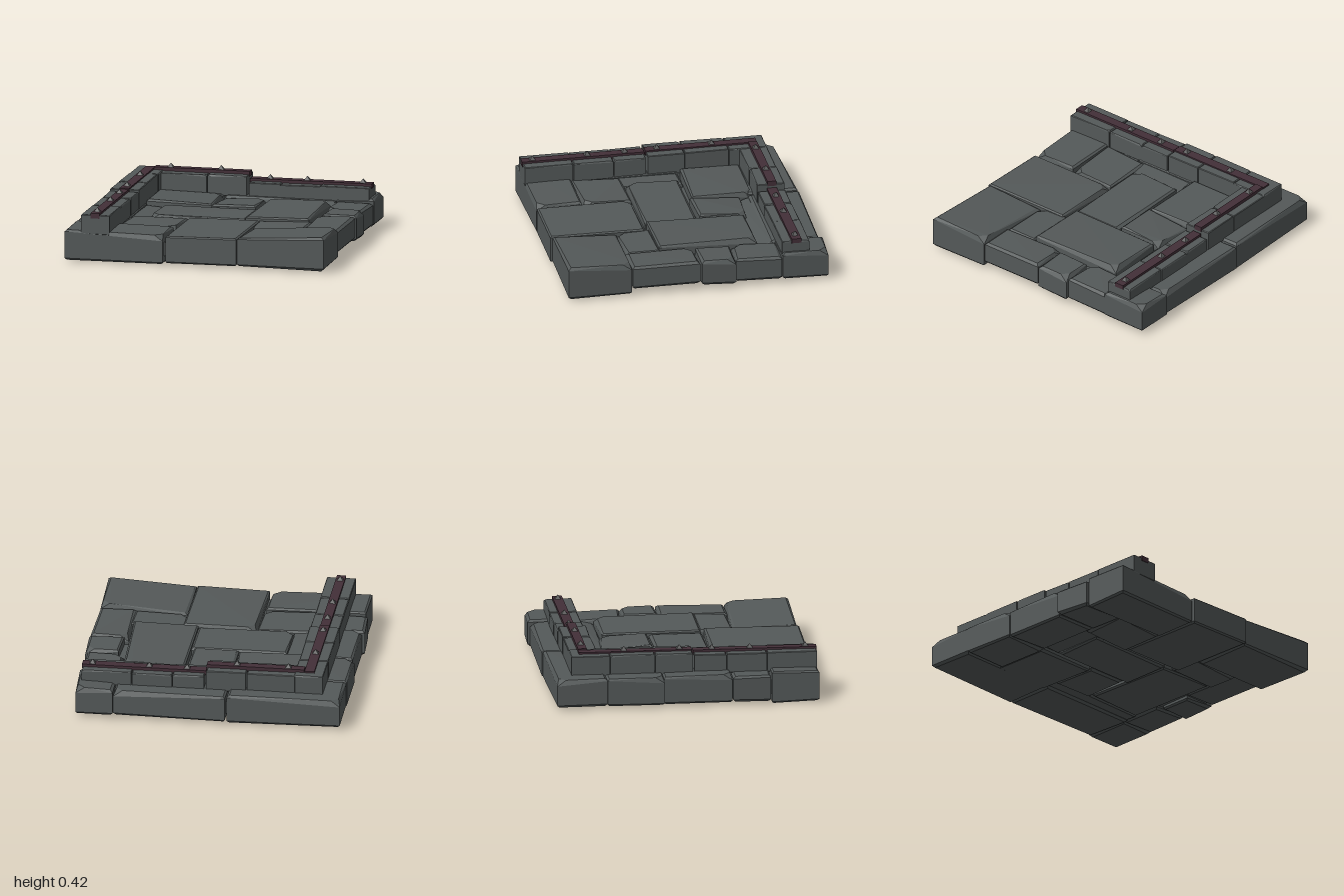
import * as THREE from 'three';
import { ConvexGeometry } from 'three/addons/geometries/ConvexGeometry.js';

// small seeded generator for chipped, uneven masonry
function makeRandom(seed) {
  return () => {
    seed = (seed * 16807) % 2147483647;
    return seed / 2147483647;
  };
}

// Rough-hewn block: every corner is bevelled, one corner is chipped deeper.
// tx, tz: rise of the top from its low-x to high-x and low-z to high-z side.
function hewnStone(x0, x1, z0, z1, y0, y1, tx, tz, rough, rnd) {
  const pts = [];
  const chip = Math.floor(rnd() * 4);
  [[0, 0], [1, 0], [1, 1], [0, 1]].forEach(([u, v], i) => {
    const sx = u ? -1 : 1, sz = v ? -1 : 1;
    const x = (u ? x1 : x0) + sx * rnd() * rough * 0.6;
    const z = (v ? z1 : z0) + sz * rnd() * rough * 0.6;
    const top = y1 + tx * (u - 0.5) + tz * (v - 0.5) - rnd() * rough * 0.3;
    const bottom = y0 + rnd() * rough * 0.5;
    const b = rough * (0.35 + rnd() * 0.4);
    const drop = i === chip ? rough * 1.4 : b * 0.8;
    const inset = i === chip ? rough * 2.2 : b;
    pts.push(new THREE.Vector3(x + sx * b, bottom, z + sz * b));
    pts.push(new THREE.Vector3(x, bottom + b, z));
    pts.push(new THREE.Vector3(x, top - drop, z));
    pts.push(new THREE.Vector3(x + sx * inset, top, z + sz * b));
    pts.push(new THREE.Vector3(x + sx * b, top, z + sz * inset));
  });
  return new ConvexGeometry(pts);
}

export function createModel() {
  const model = new THREE.Group();
  const rnd = makeRandom(4711);
  const material = (name, color) => {
    const m = new THREE.MeshStandardMaterial({ color });
    m.name = name;
    return m;
  };
  const stone = material('grey stone', 0x545959);
  const iron = material('dark red metal', 0x432f38);
  const studMetal = material('stud metal', 0x585858);

  const group = (name) => {
    const g = new THREE.Group();
    g.name = name;
    model.add(g);
    return g;
  };
  const add = (parent, name, geometry, mat) => {
    const mesh = new THREE.Mesh(geometry, mat);
    mesh.name = name;
    parent.add(mesh);
    return mesh;
  };
  const box = (parent, name, mat, x0, x1, y0, y1, z0, z1) => {
    const m = add(parent, name, new THREE.BoxGeometry(x1 - x0, y1 - y0, z1 - z0), mat);
    m.position.set((x0 + x1) / 2, (y0 + y1) / 2, (z0 + z1) / 2);
    return m;
  };

  // outer floor stones: x0, x1, z0, z1, bottom, top, tiltX, tiltZ
  const edgeStones = [
    [-1.0, -0.14, -0.97, -0.58, 0.01, 0.235, 0, 0],
    [-0.15, 0.7, -0.98, -0.58, 0.02, 0.225, 0, 0],
    [0.69, 0.98, -0.99, -0.62, 0.02, 0.24, 0.01, 0],
    [0.69, 0.98, -0.64, -0.28, 0.03, 0.225, 0, 0.01],
    [0.73, 1.0, -0.28, -0.015, 0.035, 0.24, 0, 0],
    [0.7, 0.99, -0.02, 0.5, 0.05, 0.24, 0, 0],
    [0.33, 0.985, 0.485, 0.98, 0.015, 0.25, 0.035, 0.01],
    [-0.22, 0.335, 0.26, 0.985, 0.02, 0.235, 0.005, 0],
    [-0.985, -0.215, 0.63, 0.98, 0.0, 0.24, -0.01, 0],
    [-1.0, -0.62, 0.33, 0.635, 0.02, 0.225, 0, 0],
    [-0.985, -0.62, -0.17, 0.34, 0.02, 0.235, 0, 0],
    [-1.0, -0.62, -0.6, -0.16, 0.01, 0.235, 0, 0],
  ];
  // inner paving stones in the same order of values
  const innerStones = [
    [-0.65, -0.135, -0.64, -0.17, 0.02, 0.25, -0.01, 0.01],
    [-0.14, 0.21, -0.53, -0.15, 0.03, 0.24, 0.01, 0.02],
    [0.21, 0.7, -0.5, 0.25, 0.03, 0.25, 0.01, 0.01],
    [-0.5, 0.235, -0.15, 0.26, 0.02, 0.235, 0, 0],
    [-0.65, -0.47, -0.18, 0.35, 0.04, 0.215, -0.01, 0],
    [-0.64, -0.21, 0.25, 0.635, 0.02, 0.23, 0, 0],
    [0.3, 0.73, 0.235, 0.5, 0.03, 0.23, 0.01, 0],
    [-0.15, 0.71, -0.63, -0.48, 0.04, 0.205, 0, -0.02],
  ];
  const floor = group('stone floor');
  [...edgeStones, ...innerStones].forEach(([x0, x1, z0, z1, y0, y1, tx, tz]) =>
    add(floor, 'floorStone', hewnStone(x0, x1, z0, z1, y0, y1, tx, tz, 0.03, rnd), stone));
  // mortar fills the joints
  box(floor, 'mortar', stone, -0.93, 0.93, 0.07, 0.17, -0.92, 0.93);

  // low kerb: left run along z, back run along x; values are start, end, top
  const leftKerb = [
    [-0.84, -0.55, 0.37], [-0.55, -0.22, 0.372], [-0.22, 0.06, 0.372],
    [0.068, 0.31, 0.358], [0.31, 0.61, 0.358], [0.61, 0.98, 0.36],
  ];
  const backKerb = [
    [-0.64, -0.28, 0.365], [-0.28, 0.02, 0.368],
    [0.03, 0.27, 0.322], [0.27, 0.57, 0.318], [0.57, 0.945, 0.322],
  ];
  const kerb = group('stone kerb');
  leftKerb.forEach(([a, b, top]) =>
    add(kerb, 'leftKerbStone', hewnStone(-0.85, -0.63, a, b, 0.21, top, 0, 0, 0.009, rnd), stone));
  backKerb.forEach(([a, b, top]) =>
    add(kerb, 'backKerbStone', hewnStone(a, b, -0.84, -0.63, 0.21, top, 0, 0, 0.009, rnd), stone));

  // metal bands let into the top of the kerb
  const bands = group('metal bands');
  box(bands, 'leftBand', iron, -0.773, -0.705, 0.335, 0.374, 0.068, 0.982);
  box(bands, 'leftBand', iron, -0.775, -0.703, 0.345, 0.381, -0.775, 0.06);
  box(bands, 'backBand', iron, -0.7, 0.022, 0.352, 0.39, -0.773, -0.708);
  box(bands, 'backBand', iron, 0.027, 0.945, 0.306, 0.34, -0.775, -0.702);

  // four-sided pyramid studs: x, z, base height
  const studs = group('studs');
  const studSpots = [
    [-0.74, -0.44, 0.379], [-0.74, -0.03, 0.379], [-0.74, 0.21, 0.372],
    [-0.74, 0.49, 0.372], [-0.74, 0.9, 0.372],
    [-0.58, -0.74, 0.388], [-0.2, -0.74, 0.388],
    [0.17, -0.74, 0.338], [0.45, -0.74, 0.338], [0.87, -0.74, 0.338],
  ];
  studSpots.forEach(([x, z, y]) => {
    const stud = add(studs, 'stud', new THREE.ConeGeometry(0.034, 0.034, 4, 1).toNonIndexed(), studMetal);
    stud.geometry.computeVertexNormals();
    stud.rotation.y = Math.PI / 4;
    stud.position.set(x, y + 0.016, z);
  });

  return model;
}
